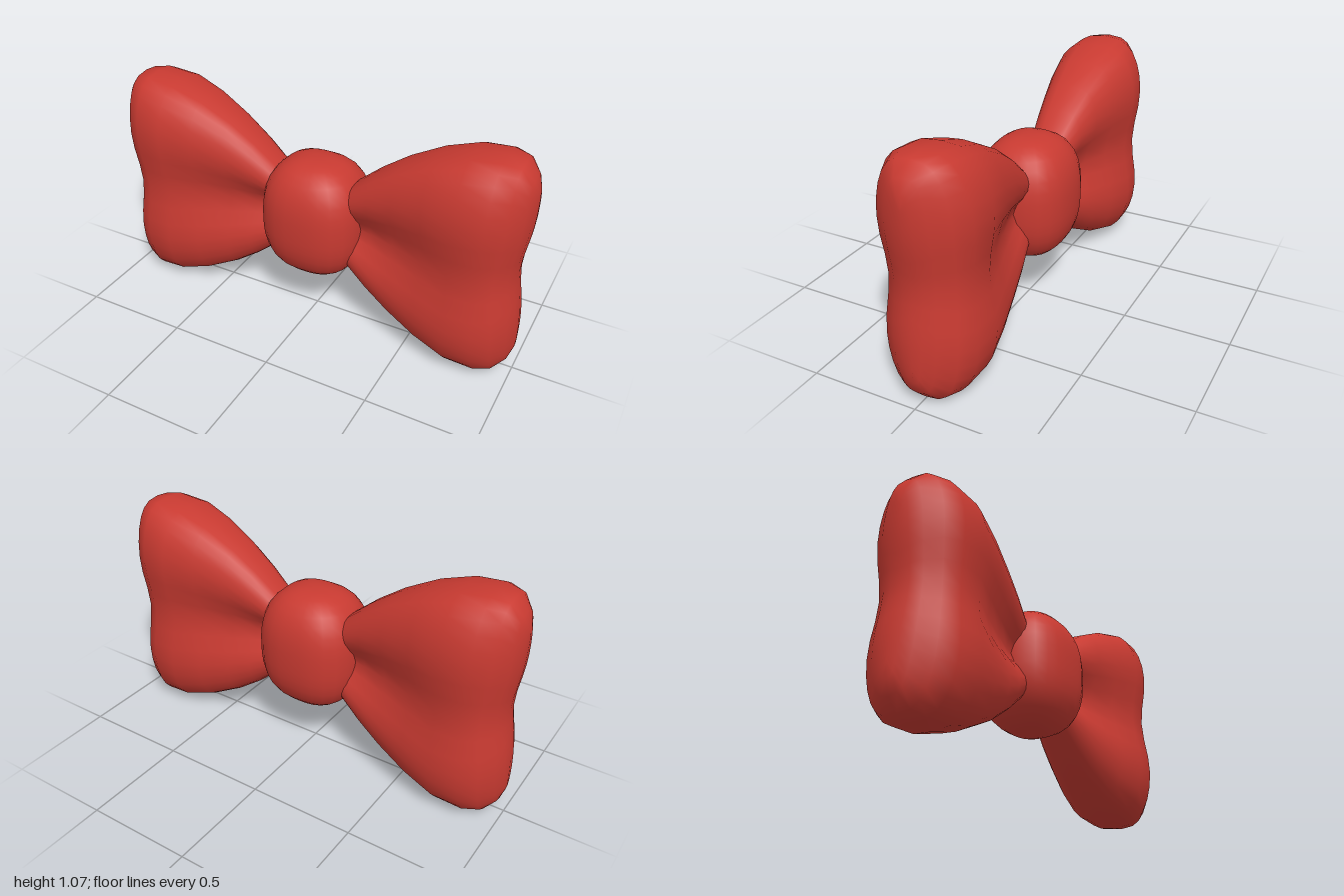
import * as THREE from 'three';
import { mergeVertices } from 'three/addons/utils/BufferGeometryUtils.js';

const CENTER_Y = 0.54;
const SEGMENTS = 36;

// Loop stations: x, half height, half depth, pinch of the middle crease
const STATIONS = [
  [0.12, 0.15, 0.08, 0.75],
  [0.2, 0.22, 0.11, 0.72],
  [0.3, 0.305, 0.135, 0.62],
  [0.42, 0.39, 0.162, 0.48],
  [0.57, 0.47, 0.198, 0.34],
  [0.72, 0.52, 0.23, 0.22],
  [0.85, 0.535, 0.215, 0.17],
  [0.925, 0.523, 0.17, 0.14],
  [0.975, 0.47, 0.1, 0.1],
  [0.995, 0.41, 0.045, 0.05],
  [1.0, 0.36, 0, 0],
];

// One flared loop: pinched oval sections lofted along +x
function loopGeometry() {
  const positions = [];
  const index = [];
  STATIONS.forEach(([x, h, d, pinch], i) => {
    const dent = 0.035 * Math.max(0, (x - 0.6) / 0.4);
    for (let j = 0; j < SEGMENTS; j++) {
      const t = (j / SEGMENTS) * Math.PI * 2;
      const v = Math.sin(t);
      const round = Math.cbrt(Math.max(0, 1 - Math.abs(v) ** 3));
      const crease = 1 - pinch * Math.exp(-((v / 0.38) ** 2));
      const z = 1.06 * d * round * crease * Math.sign(Math.cos(t));
      // The outer edge is hollowed slightly at mid height
      positions.push(x - dent * Math.exp(-((v * h / 0.17) ** 2)), v * h, z);
      if (i < STATIONS.length - 1) {
        const a = i * SEGMENTS + j;
        const c = i * SEGMENTS + ((j + 1) % SEGMENTS);
        index.push(a, a + SEGMENTS, c, c, a + SEGMENTS, c + SEGMENTS);
      }
    }
  });
  const geo = new THREE.BufferGeometry();
  geo.setAttribute('position', new THREE.Float32BufferAttribute(positions, 3));
  geo.setIndex(index);
  const welded = mergeVertices(geo, 1e-4);
  welded.computeVertexNormals();
  return welded;
}

// Knot: a sphere swollen towards a rounded box
function knotGeometry() {
  const sphere = new THREE.SphereGeometry(1, 28, 20);
  sphere.deleteAttribute('uv');
  sphere.deleteAttribute('normal');
  const geo = mergeVertices(sphere, 1e-4);
  const pos = geo.attributes.position;
  const p = 2.6;
  const v = new THREE.Vector3();
  for (let i = 0; i < pos.count; i++) {
    v.fromBufferAttribute(pos, i);
    const r = (Math.abs(v.x) ** p + Math.abs(v.y) ** p + Math.abs(v.z) ** p) ** (-1 / p);
    pos.setXYZ(i, v.x * r * 0.245, v.y * r * 0.29, v.z * r * 0.22);
  }
  geo.computeVertexNormals();
  return geo;
}

export function createModel() {
  const group = new THREE.Group();
  group.name = 'bowTie';
  const red = new THREE.MeshStandardMaterial({ color: 0xc83a31 });
  red.name = 'red fabric';

  const loop = loopGeometry();
  const add = (name, geometry, turn) => {
    const mesh = new THREE.Mesh(geometry, red);
    mesh.name = name;
    mesh.position.y = CENTER_Y;
    mesh.rotation.y = turn;
    group.add(mesh);
  };
  add('leftLoop', loop, 0);
  add('rightLoop', loop, Math.PI);
  add('knot', knotGeometry(), 0);
  return group;
}
